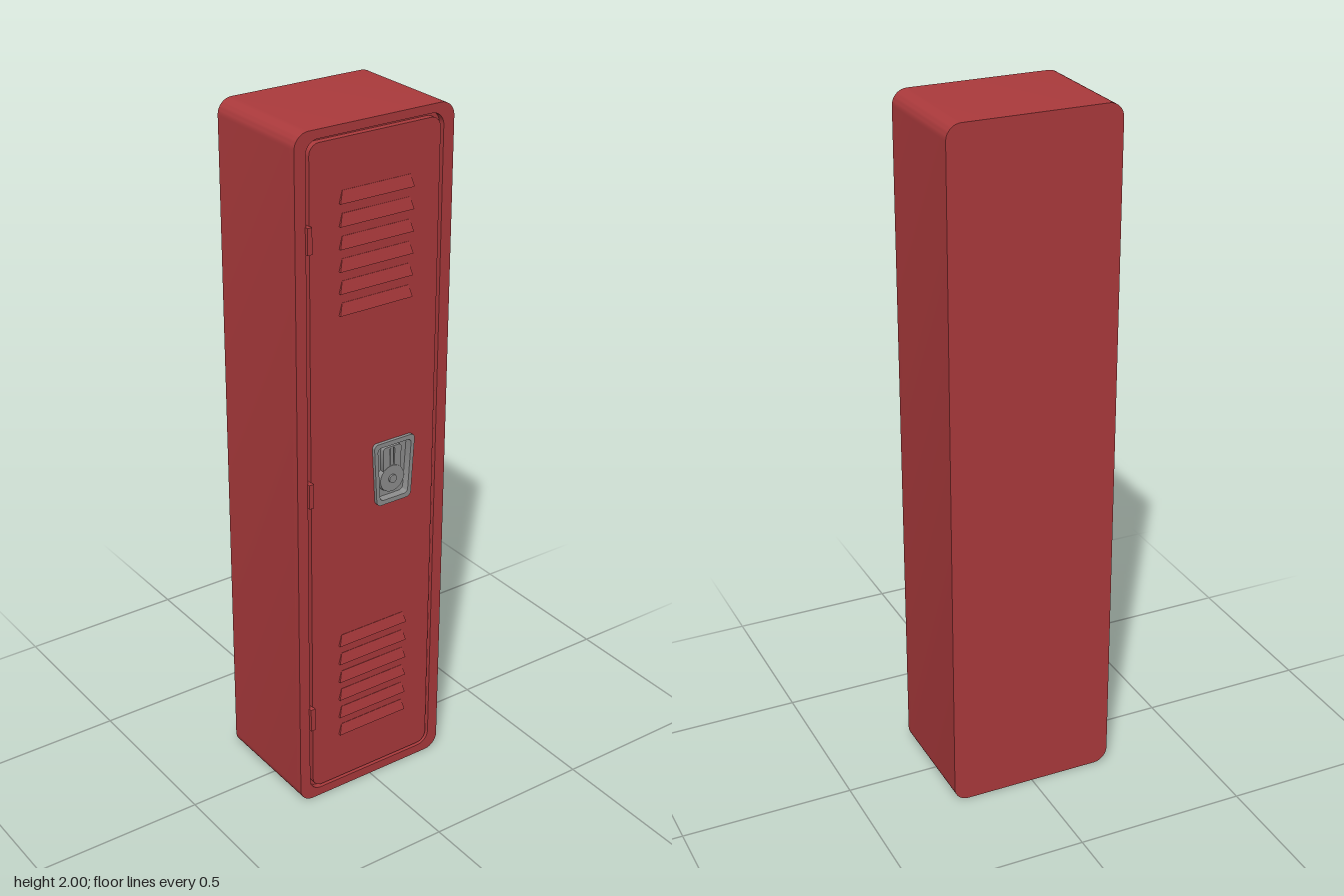
import * as THREE from 'three';
import { toCreasedNormals } from 'three/addons/utils/BufferGeometryUtils.js';

// Closed outline through the given corners, each rounded by r
function rounded(corners, r, Kind = THREE.Shape) {
  const s = new Kind();
  const pts = corners.map(([x, y]) => new THREE.Vector2(x, y));
  const n = pts.length;
  pts.forEach((p, i) => {
    const toward = (q, d) => p.clone().add(q.clone().sub(p).setLength(d));
    const prev = pts[(i + n - 1) % n], next = pts[(i + 1) % n];
    const a = toward(prev, r), b = toward(next, r);
    const c = toward(prev, r * 0.45), d = toward(next, r * 0.45);
    if (i === 0) s.moveTo(a.x, a.y); else s.lineTo(a.x, a.y);
    s.bezierCurveTo(c.x, c.y, d.x, d.y, b.x, b.y);
  });
  s.closePath();
  return s;
}

const rect = (x0, x1, y0, y1) => [[x0, y0], [x1, y0], [x1, y1], [x0, y1]];

// Symmetric trapezoid around the latch centre line
const LX = 0.065;
const trapezoid = (top, bottom, y0, y1) =>
  [[LX - bottom, y0], [LX + bottom, y0], [LX + top, y1], [LX - top, y1]];

function slab(shape, z0, z1) {
  const g = new THREE.ExtrudeGeometry(shape, { depth: z1 - z0, bevelEnabled: false, curveSegments: 10 });
  g.translate(0, 0, z0);
  return toCreasedNormals(g, 0.6);
}

export function createModel() {
  const red = new THREE.MeshStandardMaterial({ color: 0xab3a3c });
  red.name = 'red paint';
  const steel = new THREE.MeshStandardMaterial({ color: 0x8e8e8e });
  steel.name = 'grey steel';

  const model = new THREE.Group();
  model.name = 'locker';
  const add = (parent, name, geometry, material) => {
    const mesh = new THREE.Mesh(geometry, material);
    mesh.name = name;
    parent.add(mesh);
    return mesh;
  };

  const BACK = -0.178, FLOOR = 0.15, FACE = 0.168, FRONT = 0.178;
  const outer = () => rounded(rect(-0.245, 0.245, 0, 2), 0.042);

  // Cabinet and the front frame around the door
  add(model, 'cabinet', slab(outer(), BACK, FLOOR), red);
  const frame = outer();
  frame.holes.push(rounded(rect(-0.212, 0.212, 0.027, 1.976), 0.037, THREE.Path));
  add(model, 'frontFrame', slab(frame, FLOOR, FACE), red);

  // Door with an opening for the latch cup
  const door = rounded(rect(-0.202, 0.202, 0.037, 1.966), 0.03);
  door.holes.push(rounded(trapezoid(0.06, 0.05, 0.91, 1.08), 0.012, THREE.Path));
  add(model, 'door', slab(door, FLOOR, FACE), red);

  // Louvres: slope out from the top edge to a lip at the bottom
  const louvre = new THREE.BoxGeometry(0.23, 0.034, 0.007);
  const p = louvre.attributes.position;
  for (let i = 0; i < p.count; i++) {
    if (p.getY(i) > 0) {
      p.setX(i, p.getX(i) * 0.92);
      if (p.getZ(i) > 0) p.setZ(i, -0.0025);
    }
  }
  const louvreGeometry = toCreasedNormals(louvre, 0.1);
  for (const [name, top] of [['upperLouvre', 1.83], ['lowerLouvre', 0.522]]) {
    for (let i = 0; i < 6; i++) {
      add(model, name, louvreGeometry, red)
        .position.set(0.003, top - 0.017 - i * 0.0605, FACE + 0.0035);
    }
  }

  // Hinges
  for (const y of [0.28, 1.0, 1.72]) {
    add(model, 'hinge', new THREE.BoxGeometry(0.014, 0.072, FRONT - FLOOR), red)
      .position.set(-0.207, y, (FRONT + FLOOR) / 2);
  }

  // Latch cup: rim, floor and sloped sill
  const latch = new THREE.Group();
  latch.name = 'latch';
  model.add(latch);
  const rim = rounded(trapezoid(0.068, 0.057, 0.9, 1.09), 0.014);
  rim.holes.push(rounded(trapezoid(0.056, 0.046, 0.914, 1.077), 0.012, THREE.Path));
  add(latch, 'latchRim', slab(rim, FLOOR, FRONT), steel);
  add(latch, 'latchFloor', slab(rounded(trapezoid(0.058, 0.048, 0.912, 1.079), 0.012), FLOOR, 0.155), steel);

  // Lifting handle with a central slot
  const handle = rounded(rect(LX - 0.03, LX + 0.03, 0.99, 1.066), 0.008);
  handle.holes.push(rounded(rect(LX - 0.008, LX + 0.008, 1.0, 1.062), 0.005, THREE.Path));
  add(latch, 'handle', slab(handle, 0.155, 0.168), steel);
  add(latch, 'handleTongue', new THREE.BoxGeometry(0.01, 0.07, 0.012), steel)
    .position.set(LX, 1.03, 0.161);

  // Round boss with a raised centre
  for (const [name, r, z] of [['boss', 0.042, 0.169], ['bossCentre', 0.013, 0.174]]) {
    const g = new THREE.CylinderGeometry(r * 0.94, r, z - 0.155, 32);
    g.rotateX(Math.PI / 2);
    add(latch, name, g, steel).position.set(LX, 0.968, (z + 0.155) / 2);
  }

  return model;
}
